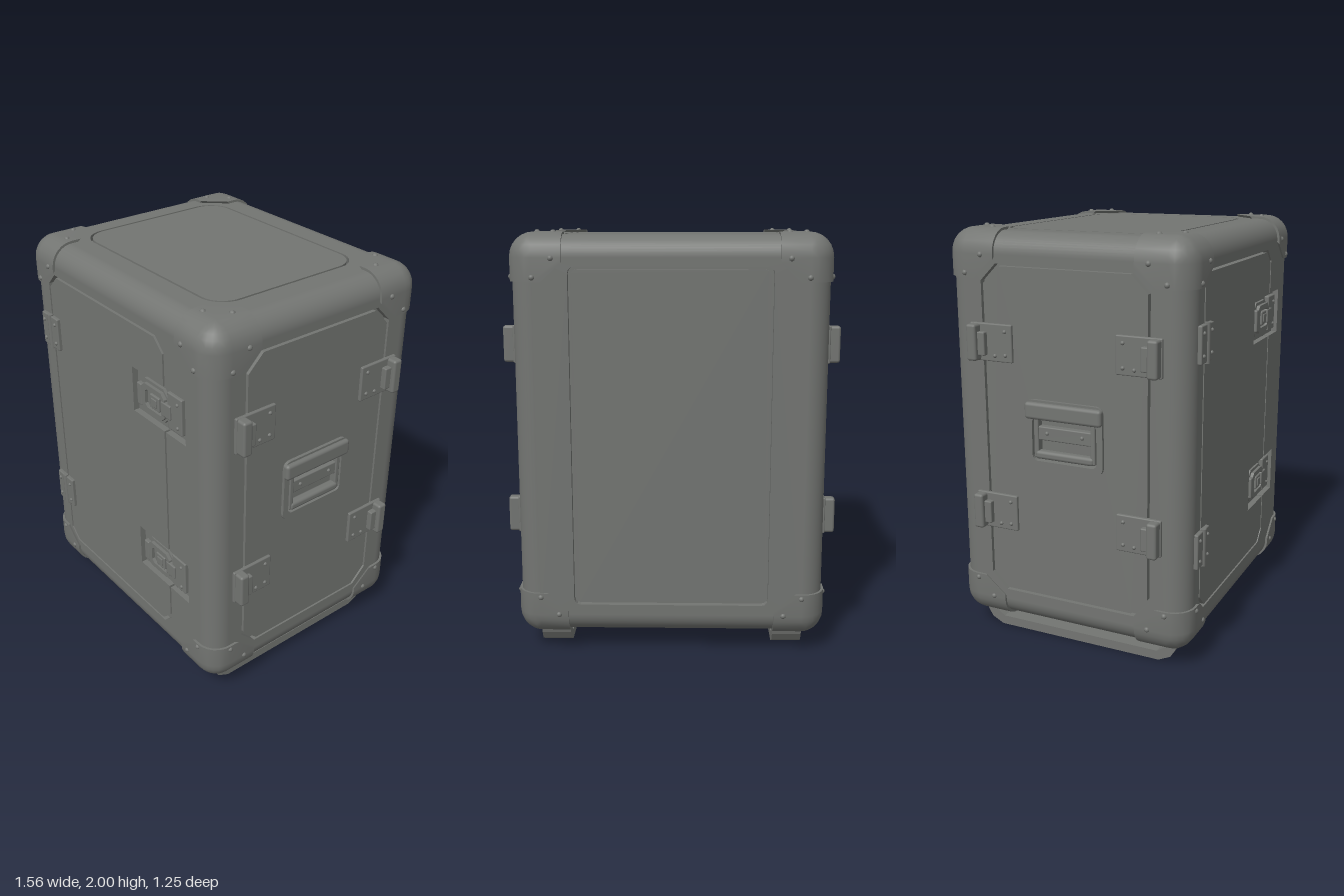
import * as THREE from 'three';
import { toCreasedNormals } from 'three/addons/utils/BufferGeometryUtils.js';
import { RoundedBoxGeometry } from 'three/addons/geometries/RoundedBoxGeometry.js';
import { ConvexGeometry } from 'three/addons/geometries/ConvexGeometry.js';

// Half sizes of the case, edge radius, height of its middle, depth of seams and recesses
const W = 0.72, H = 0.94, D = 0.6, R = 0.1, MID = 1.04, DEEP = 0.03, GAP = 0.012;

const grey = new THREE.MeshStandardMaterial({ color: 0x737572 });
grey.name = 'grey shell';

function add(parent, name, geometry, x = 0, y = 0, z = 0) {
  const mesh = new THREE.Mesh(geometry, grey);
  mesh.name = name;
  mesh.position.set(x, y, z);
  parent.add(mesh);
  return mesh;
}

// Rounded block between two corners, rising from z0 to z1
function block(parent, name, x0, x1, y0, y1, z0, z1, r = 0.006) {
  const geometry = new RoundedBoxGeometry(x1 - x0, y1 - y0, z1 - z0, 2, r);
  return add(parent, name, geometry, (x0 + x1) / 2, (y0 + y1) / 2, (z0 + z1) / 2);
}

function rivet(parent, x, y, z, r = 0.012) {
  const dome = new THREE.SphereGeometry(r, 10, 5, 0, Math.PI * 2, 0, Math.PI / 2);
  return add(parent, 'rivet', dome.rotateX(Math.PI / 2), x, y, z);
}

// Rectangle outline with corners cut (n = 1) or rounded (n > 1); notches step the right edge to nx
function outline(l, r, b, t, c, n = 1, notches = [], nx = 0) {
  const pts = [];
  const corner = (cx, cy, start) => {
    for (let i = 0; i <= n; i++) {
      const a = start + (i / n) * Math.PI / 2;
      pts.push(new THREE.Vector2(cx + c * Math.cos(a), cy + c * Math.sin(a)));
    }
  };
  corner(r - c, b + c, -Math.PI / 2);
  for (const [y0, y1] of notches) {
    for (const [x, y] of [[r, y0], [nx, y0], [nx, y1], [r, y1]]) pts.push(new THREE.Vector2(x, y));
  }
  corner(r - c, t - c, 0);
  corner(l + c, t - c, Math.PI / 2);
  corner(l + c, b + c, Math.PI);
  return pts;
}

function plate(points, holes, depth) {
  const shape = new THREE.Shape(points);
  shape.holes = holes.map((h) => new THREE.Path(h));
  return new THREE.ExtrudeGeometry(shape, { depth, bevelEnabled: false });
}

// One flat side of the case: frame, inset panel with a seam around it, and the floor behind
function caseSide(parent, name, hw, hh, frameHole, panel, panelHoles = []) {
  const g = new THREE.Group();
  g.name = name;
  const rect = [[-hw, -hh], [hw, -hh], [hw, hh], [-hw, hh]].map((p) => new THREE.Vector2(...p));
  add(g, 'frame', plate(rect, [frameHole], DEEP), 0, 0, -DEEP);
  add(g, 'panel', plate(panel, panelHoles, DEEP), 0, 0, -DEEP);
  add(g, 'floor', new THREE.PlaneGeometry(hw * 2, hh * 2), 0, 0, -DEEP);
  parent.add(g);
  return g;
}

// Rounded edges only: the flat middle of every side is left open for the panels
function edgeShell() {
  const box = new RoundedBoxGeometry(W * 2, H * 2, D * 2, 6, R);
  const p = box.attributes.position, n = box.attributes.normal;
  const pos = [], nor = [];
  for (let i = 0; i < p.count; i += 3) {
    const ids = [i, i + 1, i + 2];
    const flat = ids.every((k) => Math.max(Math.abs(n.getX(k)), Math.abs(n.getY(k)), Math.abs(n.getZ(k))) > 0.9999);
    if (flat) continue;
    for (const k of ids) {
      pos.push(p.getX(k), p.getY(k), p.getZ(k));
      nor.push(n.getX(k), n.getY(k), n.getZ(k));
    }
  }
  const g = new THREE.BufferGeometry();
  g.setAttribute('position', new THREE.Float32BufferAttribute(pos, 3));
  g.setAttribute('normal', new THREE.Float32BufferAttribute(nor, 3));
  return g;
}

// Corner guard: a cap of slightly larger radius running a short way along three edges
function cornerGuard(parent, sign) {
  const g = new THREE.Group();
  g.name = 'cornerGuard';
  const lift = 0.012, rad = R + lift, steps = 6;
  const out = [W + lift, H + lift, D + lift], reach = [0.245, 0.22, 0.265];
  const mid = out.map((v) => v - rad);
  const pts = [];
  const push = (v) => pts.push(new THREE.Vector3(...v.map((c, i) => c * sign[i])));
  for (let i = 0; i <= steps; i++) {
    const a = (i / steps) * Math.PI / 2;
    for (let j = 0; j <= steps; j++) {
      const b = (j / steps) * Math.PI / 2;
      push([mid[0] + rad * Math.cos(b) * Math.cos(a), mid[1] + rad * Math.sin(b), mid[2] + rad * Math.cos(b) * Math.sin(a)]);
    }
    for (let k = 0; k < 3; k++) {
      const u = (k + 1) % 3, w = (k + 2) % 3, v = [0, 0, 0];
      v[k] = out[k] - reach[k];
      v[u] = mid[u] + rad * Math.cos(a);
      v[w] = mid[w] + rad * Math.sin(a);
      push(v);
    }
  }
  for (let k = 0; k < 3; k++) {
    const u = (k + 1) % 3, w = (k + 2) % 3;
    for (const [fu, fw, ru, rw] of [[1, 0.62, 0.2, 0.115], [0.62, 1, 0.115, 0.2]]) {
      const v = [0, 0, 0];
      v[k] = out[k]; v[u] = out[u] - reach[u] * fu; v[w] = out[w] - reach[w] * fw;
      push(v);
      const s = [0, 0, 0], dir = [0, 0, 0];
      s[k] = out[k] - 0.005; s[u] = out[u] - ru; s[w] = out[w] - rw;
      dir[k] = sign[k];
      const dome = rivet(g, ...s.map((c, i) => c * sign[i]), 0.014);
      dome.quaternion.setFromUnitVectors(new THREE.Vector3(0, 0, 1), new THREE.Vector3(...dir));
    }
  }
  add(g, 'guardShell', toCreasedNormals(new ConvexGeometry(pts), 0.5));
  parent.add(g);
}

// Latch sitting in a front recess
function latch(parent, y) {
  const g = new THREE.Group();
  g.name = 'latch';
  g.position.set(0, y, 0);
  const body = outline(0.19, 0.39, -0.085, 0.085, 0.03);
  add(g, 'latchBase', plate(body, [], 0.014), 0, 0, -DEEP);
  add(g, 'latchRing', plate(outline(0.21, 0.385, -0.07, 0.07, 0.025), [outline(0.24, 0.37, -0.045, 0.045, 0.015)], 0.018), 0, 0, -0.018);
  block(g, 'turnKey', 0.275, 0.345, -0.035, 0.035, -0.02, 0);
  block(g, 'turnKeyCap', 0.29, 0.33, -0.02, 0.02, -0.004, 0.005, 0.003);
  block(g, 'pull', 0.18, 0.215, -0.055, 0.055, -0.025, 0.003);
  block(g, 'hook', 0.36, 0.43, -0.035, 0.035, -0.025, 0.003);
  block(g, 'strikePlate', 0.4, 0.505, -0.085, 0.095, -0.032, -0.006);
  for (const dy of [-0.055, 0.06]) rivet(g, 0.475, dy, -0.007, 0.009);
  parent.add(g);
}

// Front door hinge: two leaves and a barrel over the seam
function hinge(parent, y) {
  const g = new THREE.Group();
  g.name = 'hinge';
  g.position.set(0, y, 0);
  block(g, 'leaf', -0.63, -0.56, -0.085, 0.085, -0.01, 0.018);
  block(g, 'leaf', -0.55, -0.485, -0.085, 0.085, -0.01, 0.018);
  add(g, 'barrel', new THREE.CylinderGeometry(0.014, 0.014, 0.18, 12), -0.555, 0, 0.014);
  for (const x of [-0.605, -0.51]) for (const dy of [-0.05, 0.05]) rivet(g, x, dy, 0.017, 0.01);
  parent.add(g);
}

// Side clamp: a flat plate with a standing block over the seam
function clamp(parent, s, y) {
  const g = new THREE.Group();
  g.name = 'sideClamp';
  g.position.set(0, y, 0);
  const span = (a, b) => (s > 0 ? [a, b] : [-b, -a]);
  block(g, 'clampPlate', ...span(0.26, 0.48), -0.088, 0.088, -0.01, 0.014);
  block(g, 'clampBlock', ...span(0.425, 0.475), -0.085, 0.085, 0, 0.06, 0.012);
  block(g, 'clampTongue', ...span(0.39, 0.44), -0.06, 0.05, 0, 0.04);
  for (const [x, dy] of [[0.295, 0.055], [0.295, -0.055], [0.35, -0.06]]) rivet(g, x * s, dy, 0.013, 0.01);
  parent.add(g);
}

// Side carrying handle with a hooded rim and a folded grip
function handle(parent) {
  const g = new THREE.Group();
  g.name = 'handle';
  g.position.set(0, -MID, 0);
  add(g, 'rim', plate(outline(-0.195, 0.195, 0.915, 1.235, 0.035, 4), [outline(-0.165, 0.165, 0.945, 1.15, 0.025, 4)], 0.035), 0, 0, -0.02);
  block(g, 'hood', -0.195, 0.195, 1.145, 1.225, -0.01, 0.035, 0.016);
  block(g, 'gripPlate', -0.15, 0.15, 1.045, 1.11, -0.03, 0.008);
  block(g, 'gripBar', -0.15, 0.15, 0.955, 0.995, -0.025, 0.02, 0.015);
  for (const x of [-0.145, 0.145]) block(g, 'gripArm', x - 0.012, x + 0.012, 0.96, 1.15, -0.025, 0.014);
  for (const x of [-0.09, 0.09]) rivet(g, x, 1.08, 0.007, 0.01);
  parent.add(g);
}

export function createModel() {
  const model = new THREE.Group();
  model.name = 'flightCase';
  const body = new THREE.Group();
  body.name = 'caseBody';
  body.position.y = MID;
  model.add(body);
  add(body, 'roundedEdges', edgeShell());

  // Front door, notched where the latch recesses cross its seam
  const b = -0.79, t = 0.8, latchY = [-0.425, 0.46];
  const notches = latchY.map((y) => [y - 0.11, y + 0.115]);
  const front = caseSide(body, 'front', W - R, H - R,
    outline(-0.56, 0.395, b, t, 0.06, 1, notches, 0.54),
    outline(-0.56 + GAP, 0.395 - GAP, b + GAP, t - GAP, 0.06, 1, notches, 0.145));
  front.position.z = D;
  latchY.forEach((y) => latch(front, y));
  [0.49, -0.46].forEach((y) => hinge(front, y));

  const back = caseSide(body, 'back', W - R, H - R,
    outline(-0.46, 0.46, b, t, 0.03, 3), outline(-0.46 + GAP, 0.46 - GAP, b + GAP, t - GAP, 0.03, 3));
  back.position.z = -D;
  back.rotation.y = Math.PI;

  // Both sides with handle opening and four clamps
  for (const s of [1, -1]) {
    const side = caseSide(body, s > 0 ? 'leftSide' : 'rightSide', D - R, H - R,
      outline(-0.42, 0.42, b, t, 0.08), outline(-0.42 + GAP, 0.42 - GAP, b + GAP, t - GAP, 0.08),
      [outline(-0.165, 0.165, 0.945 - MID, 1.15 - MID, 0.025, 4)]);
    side.position.x = s * W;
    side.rotation.y = s * Math.PI / 2;
    handle(side);
    for (const u of [1, -1]) for (const y of [0.44, -0.38]) clamp(side, u, y);
  }

  // Top and bottom
  for (const s of [1, -1]) {
    const lid = caseSide(body, s > 0 ? 'top' : 'bottom', W - R, D - R,
      outline(-0.55, 0.52, -0.41, 0.415, 0.12, 8),
      outline(-0.55 + GAP, 0.52 - GAP, -0.41 + GAP, 0.415 - GAP, 0.12 - GAP, 8));
    lid.position.y = s * H;
    lid.rotation.x = -s * Math.PI / 2;
  }

  for (const x of [1, -1]) for (const y of [1, -1]) for (const z of [1, -1]) cornerGuard(body, [x, y, z]);

  // Two bent strap runners underneath
  const half = [[0.43, 0], [0.49, 0.03], [0.515, 0.07], [0.53, 0.13], [0.48, 0.13], [0.465, 0.075], [0.42, 0.045]];
  const strap = [...half, ...half.map(([x, y]) => [-x, y]).reverse()].map((p) => new THREE.Vector2(...p));
  for (const x of [-0.56, 0.56]) {
    add(model, 'runner', plate(strap, [], 0.14), x - 0.07, 0, 0).rotation.y = Math.PI / 2;
  }
  return model;
}
